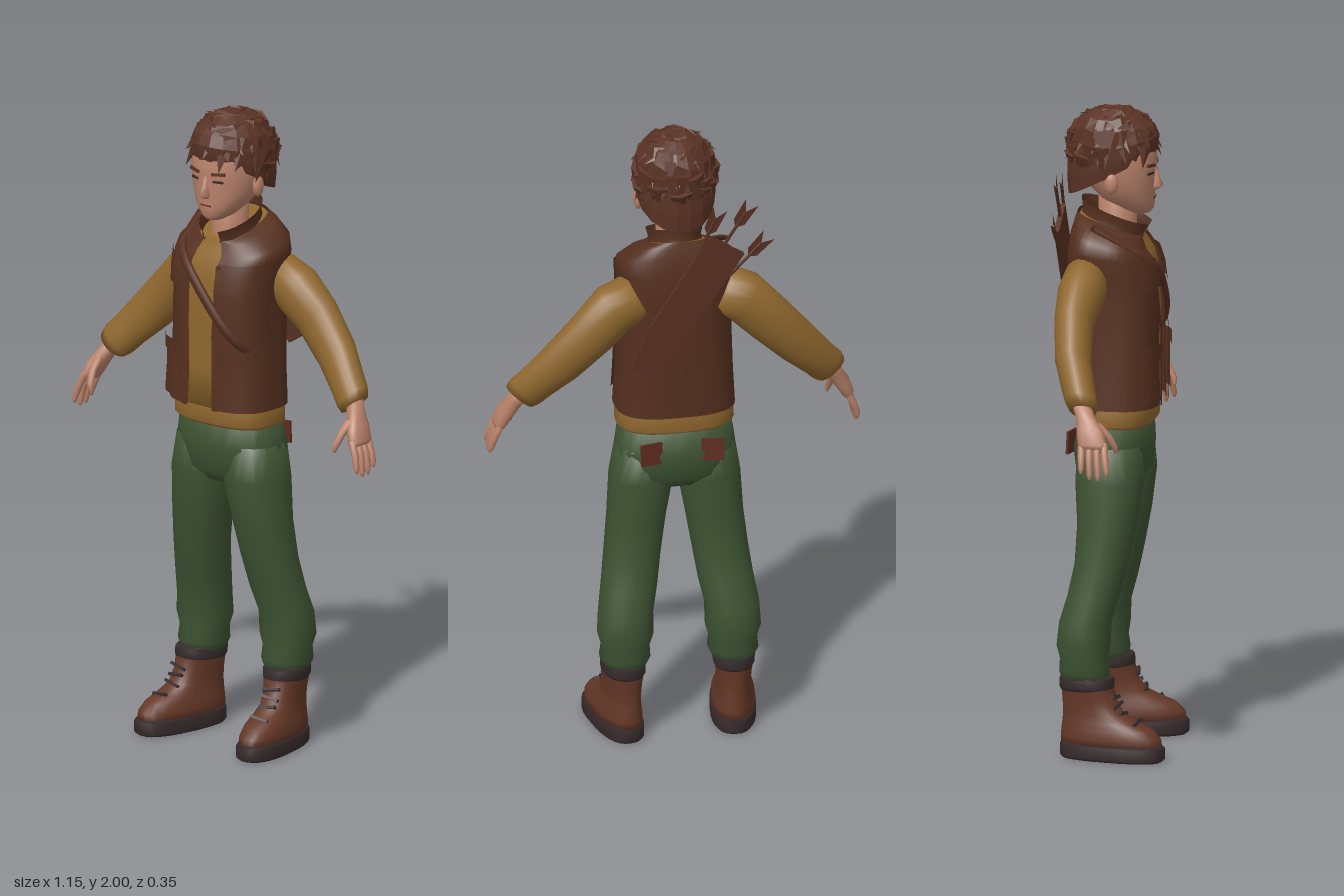
import * as THREE from 'three';

const mat = (name, color, side = THREE.FrontSide) =>
  Object.assign(new THREE.MeshStandardMaterial({ color, side }), { name });

// Lofts elliptical rings. rows: [x, y, z, radiusX, radiusZ, slope]; tube turns rings along the path in xy.
function loft(rows, { n = 20, p = 2, t0 = 0, t1 = Math.PI * 2, tube = false, flat = false } = {}) {
  const closed = t1 - t0 > 6.28, m = closed ? n : n + 1, pos = [], idx = [];
  const pw = v => Math.sign(v) * Math.abs(v) ** (2 / p);
  rows.forEach(([x, y, z, a, b, slope = 0], i) => {
    let ux = 1, uy = 0;
    if (tube) {
      const q = rows[Math.max(0, i - 1)], r = rows[Math.min(rows.length - 1, i + 1)];
      const l = Math.hypot(r[0] - q[0], r[1] - q[1]) || 1;
      ux = (r[1] - q[1]) / l; uy = (q[0] - r[0]) / l;
    }
    for (let j = 0; j < m; j++) {
      const t = t0 + (t1 - t0) * j / n, c = pw(Math.cos(t)) * a, s = pw(Math.sin(t)) * b;
      pos.push(x + ux * c, y + uy * c + slope * s, z + s);
    }
  });
  for (let i = 0; i < rows.length - 1; i++) for (let j = 0; j < n; j++) {
    const k = (j + 1) % m, A = i * m + j, B = A + m, C = i * m + k, D = C + m;
    idx.push(A, B, C, B, D, C);
  }
  if (closed) { // end caps
    const e = (rows.length - 1) * m, c0 = rows.length * m, first = rows[0], last = rows.at(-1);
    pos.push(first[0], first[1], first[2], last[0], last[1], last[2]);
    for (let j = 0; j < n; j++) {
      const k = (j + 1) % n;
      idx.push(c0, j, k, c0 + 1, e + k, e + j);
    }
  }
  let g = new THREE.BufferGeometry();
  g.setAttribute('position', new THREE.Float32BufferAttribute(pos, 3));
  g.setIndex(idx);
  if (flat) g = g.toNonIndexed();
  g.computeVertexNormals();
  return g;
}

// Mirrored copy across x = 0 with corner order kept outward.
function mirrored(geo) {
  const g = geo.index ? geo.toNonIndexed() : geo.clone();
  for (const at of [g.attributes.position, g.attributes.normal])
    for (let i = 0; i < at.count; i++) at.setX(i, -at.getX(i));
  for (const at of Object.values(g.attributes)) {
    const s = at.itemSize, v = at.array;
    for (let i = 0; i < at.count; i += 3) for (let k = 0; k < s; k++) {
      const a = (i + 1) * s + k, b = (i + 2) * s + k;
      [v[a], v[b]] = [v[b], v[a]];
    }
  }
  return g;
}

// Rows given as [y, halfWidth, front, back, slope]
const body = (rows, grow = 0) => rows.map(([y, a, f, b, s = 0]) =>
  [0, y, (f + b) / 2, a + grow, (f - b) / 2 + grow, s]);

const VEST = [[1.08, .185, .125, -.14], [1.2, .178, .12, -.14], [1.35, .172, .125, -.15], [1.48, .175, .12, -.16],
  [1.55, .182, .105, -.16, -.1], [1.59, .178, .085, -.15, -.25], [1.625, .13, .07, -.14, -.3], [1.637, .085, .07, -.135, -.35]];
function vestAt(y) {
  let i = 0;
  while (i < VEST.length - 2 && VEST[i + 1][0] < y) i++;
  const A = VEST[i], B = VEST[i + 1], k = (y - A[0]) / (B[0] - A[0]);
  return [y, ...[1, 2, 3, 4].map(c => (A[c] ?? 0) + ((B[c] ?? 0) - (A[c] ?? 0)) * k)];
}

export function createModel() {
  const model = new THREE.Group();
  model.name = 'archerBoy';
  const skin = mat('skin', 0xb9826a), hair = mat('hair brown', 0x5a3325, THREE.DoubleSide),
    vest = mat('vest brown', 0x55301f, THREE.DoubleSide), shirt = mat('ochre cloth', 0x8f672e),
    green = mat('trouser green', 0x3e5232), boot = mat('boot leather', 0x653827),
    dark = mat('dark rubber', 0x372b2c), patchRed = mat('patch red brown', 0x5e2b20),
    leather = mat('quiver leather', 0x573022, THREE.DoubleSide);
  const add = (name, geo, m) => {
    const mesh = new THREE.Mesh(geo, m);
    mesh.name = name;
    model.add(mesh);
    return mesh;
  };
  const pair = (name, geo, m) => { add(name + 'Left', geo, m); add(name + 'Right', mirrored(geo), m); };
  const box = (w, h, d, x, y, z, rx = 0, ry = 0, rz = 0) => new THREE.BoxGeometry(w, h, d)
    .rotateX(rx).rotateZ(rz).rotateY(ry).translate(x, y, z);

  // Trousers
  add('trouserSeat', loft(body([[.83, .12, .05, -.1], [.87, .185, .085, -.135], [.95, .186, .095, -.145],
    [1.05, .172, .09, -.12]]), { p: 2.4 }), green);
  pair('trouserLeg', loft([[.168, .235, -.085, .06, .068], [.168, .27, -.086, .078, .078], [.167, .31, -.088, .074, .074],
    [.167, .35, -.09, .086, .082], [.165, .42, -.085, .084, .08], [.15, .5, -.062, .086, .08], [.136, .6, -.04, .087, .082],
    [.12, .72, -.025, .09, .092], [.104, .85, -.02, .098, .106], [.094, .96, -.022, .09, .1]], { p: 2.2 }), green);
  pair('seatPatch', box(.07, .07, .008, .095, .965, -.14, .05, .22), patchRed);

  // Boots
  const footed = g => g.rotateY(.17).translate(.172, 0, -.08);
  const foot = rows => body(rows);
  pair('bootSole', footed(loft(foot([[0, .064, .24, -.075], [.008, .07, .25, -.082], [.042, .07, .25, -.082],
    [.05, .064, .242, -.078]]), { n: 28, p: 2.5 })), dark);
  pair('bootUpper', footed(loft(foot([[.04, .066, .243, -.08], [.07, .067, .238, -.08], [.095, .062, .215, -.078],
    [.115, .057, .17, -.075], [.14, .053, .12, -.073], [.18, .055, .095, -.074], [.22, .06, .085, -.078],
    [.252, .061, .08, -.078]]), { n: 28, p: 2.3 })), boot);
  pair('bootCuff', footed(loft(foot([[.212, .059, .08, -.079], [.22, .064, .086, -.083], [.247, .065, .085, -.083],
    [.253, .06, .08, -.08]]), { p: 2.3 })), dark);
  for (let i = 0; i < 4; i++)
    pair('bootLace' + (i + 1), footed(box(.06, .009, .012, 0, .118 + i * .025, [.165, .118, .103, .094][i], -.5, 0, i % 2 ? .15 : -.15)), dark);

  // Shirt and sleeves
  add('shirtBody', loft(body(VEST.map(([y, a, f, b, s]) => [y, a, f - .006, b, s]), -.008), { n: 28, p: 2.8 }), shirt);
  add('shirtHem', loft(body([[1.02, .172, .098, -.125], [1.03, .182, .106, -.132], [1.075, .181, .108, -.132],
    [1.1, .172, .1, -.125]]), { n: 28, p: 2.6 }), shirt);
  pair('sleeve', loft([[.13, 1.485, -.085, .075, .07], [.2, 1.45, -.09, .082, .073], [.275, 1.375, -.1, .078, .06],
    [.37, 1.275, -.085, .07, .056], [.44, 1.2, -.055, .06, .052], [.468, 1.17, -.042, .06, .05],
    [.485, 1.15, -.034, .052, .043]], { tube: true }), shirt);

  // Vest with open front, collar, pockets and placket
  const q = Math.PI / 2;
  const panel = (y0, y1, a, b, grow) => loft(body([y0, (y0 + y1) / 2, y1].map(vestAt), grow), { n: 8, p: 2.8, t0: a, t1: b });
  add('vestShell', loft(body(VEST), { n: 40, p: 2.8, t0: q + .17, t1: 5 * q - .17 }), vest);
  add('vestCollar', loft(body([[1.622, .085, .075, -.13, -.33], [1.645, .08, .08, -.122, -.35], [1.672, .086, .093, -.126, -.37]]),
    { n: 28, t0: q + .4, t1: 5 * q - .4 }), vest);
  pair('vestPlacket', panel(1.08, 1.55, q - .25, q - .16, .008), vest);
  pair('vestPocket', panel(1.1, 1.25, .55, 1.25, .014), vest);
  pair('vestPocketFlap', panel(1.24, 1.28, .5, 1.28, .02), vest);
  pair('vestYoke', panel(1.45, 1.56, .45, 1.38, .008), vest);

  // Strap across the chest, following the vest surface
  const strap = [[-.15, 1.642, -.06, .017, .012]];
  for (let i = 0; i <= 10; i++) {
    const x = -.13 + .297 * i / 10, y = 1.6 - .34 * i / 10, [, a, f, b, s] = vestAt(y);
    const z = (f - b) / 2 * (1 - Math.min(1, Math.abs(x / a)) ** 2.8) ** (1 / 2.8);
    strap.push([x, y + s * z, (f + b) / 2 + z + .004, .017, .009]);
  }
  add('quiverStrap', loft(strap, { n: 8, p: 3, tube: true }), leather);

  // Flat quiver on the back with arrows
  const outline = new THREE.Shape([[-.065, .24], [.06, .235], [.06, -.12], [.035, -.25], [-.035, -.25], [-.06, -.12]]
    .map(v => new THREE.Vector2(...v)));
  const tilt = g => g.rotateZ(.576).translate(0, 1.47, -.179);
  add('quiver', tilt(new THREE.ExtrudeGeometry(outline, { depth: .016, bevelEnabled: false })), leather);
  [[-.035, .3, .2], [.005, .36, 0], [.035, .3, -.14]].forEach(([x, top, lean], i) => {
    const place = g => tilt(g.rotateZ(lean).translate(x, 0, .008));
    add('arrowShaft' + (i + 1), place(new THREE.CylinderGeometry(.005, .005, top - .1, 6).translate(0, (top + .1) / 2, 0)), leather);
    const vane = new THREE.Shape([[0, top - .06], [.02, top - .04], [.024, top + .035], [0, top], [-.024, top + .035], [-.02, top - .04]]
      .map(v => new THREE.Vector2(...v)));
    add('arrowFletching' + (i + 1), place(new THREE.ShapeGeometry(vane)), leather);
  });

  // Hands
  pair('palm', loft([[.476, 1.17, -.04, .026, .03], [.5, 1.13, -.022, .024, .03], [.523, 1.09, -.003, .025, .043],
    [.542, 1.05, .006, .02, .045], [.546, 1.04, .008, .012, .038]], { n: 12, p: 2.4, tube: true }), skin);
  for (let k = 0; k < 4; k++) {
    const z = .042 - k * .023, tip = [.965, .95, .953, .97][k], e = .054 - k * .026;
    pair('finger' + (k + 1), loft([[.538, 1.06, z, .012, .012], [.558, 1.015, (z + e) / 2, .011, .011],
      [.568, tip + .015, e, .009, .009], [.569, tip, e, .004, .004]], { n: 8, tube: true }), skin);
  }
  pair('thumb', loft([[.505, 1.115, .012, .015, .016], [.503, 1.08, .045, .013, .014], [.496, 1.045, .065, .011, .011],
    [.491, 1.022, .07, .005, .005]], { n: 8, tube: true }), skin);

  // Head and face
  add('neck', loft([[0, 1.56, -.015, .07, .07], [0, 1.62, -.015, .056, .058], [0, 1.74, -.015, .056, .06]]), skin);
  add('head', loft(body([[1.668, .026, .085, .02], [1.682, .048, .096, -.02], [1.71, .074, .1, -.06], [1.75, .098, .1, -.1],
    [1.8, .11, .103, -.13], [1.86, .114, .105, -.14], [1.92, .1, .085, -.12], [1.96, .06, .04, -.08]]), { n: 24, p: 2.2 }), skin);
  add('nose', loft([[0, 1.74, .098, .012, .012], [0, 1.753, .104, .017, .022], [0, 1.775, .1, .011, .016],
    [0, 1.81, .094, .008, .01]], { n: 10 }), skin);
  pair('ear', new THREE.SphereGeometry(1, 10, 8).scale(.014, .034, .022).translate(.112, 1.775, -.015), skin);
  pair('eye', box(.034, .007, .006, .045, 1.797, .094, 0, .28), dark);
  pair('brow', box(.045, .009, .008, .047, 1.822, .096, 0, .28, .08), hair);
  add('mouth', box(.04, .004, .006, 0, 1.716, .098), patchRed);

  // Hair cap plus layered pointed locks
  add('hairCap', loft([[0, 1.79, -.03, .119, .136, .52], [0, 1.83, -.03, .124, .14, .38], [0, 1.88, -.028, .124, .14, .2],
    [0, 1.93, -.028, .11, .126, .08], [0, 1.965, -.03, .084, .098, 0], [0, 1.988, -.03, .045, .055, 0]],
    { n: 18, flat: true }), hair);
  let seed = 7;
  const rnd = () => (seed = seed * 16807 % 2147483647) / 2147483647;
  [[6, 1.2], [10, .85], [14, .5], [16, .18], [16, -.12], [13, -.42]].forEach(([count, lat0], ring) => {
    for (let i = 0; i < count; i++) {
      const t = (i + rnd() * .6 + ring * .5) / count * Math.PI * 2, lat = lat0 + (rnd() - .5) * .15;
      const front = Math.sin(t);
      if ((ring === 3 && front > .9) || (ring === 4 && front > .2) || (ring === 5 && front > -.1)) continue;
      const nrm = new THREE.Vector3(Math.cos(t) * Math.cos(lat), Math.sin(lat), front * Math.cos(lat));
      const side = new THREE.Vector3(-Math.sin(t), 0, Math.cos(t)).addScaledVector(nrm, .1).normalize();
      const down = new THREE.Vector3(0, -1, 0).addScaledVector(nrm, nrm.y + .12).addScaledVector(side, (rnd() - .4) * .7).normalize();
      const across = new THREE.Vector3().crossVectors(down, nrm).normalize();
      const out = new THREE.Vector3().crossVectors(across, down);
      const at = new THREE.Vector3(nrm.x * .12, 1.855 + nrm.y * .126, -.028 + nrm.z * .135);
      const g = new THREE.ConeGeometry(.032 + rnd() * .01, .1 + rnd() * .03, 5).toNonIndexed();
      g.scale(1, 1, .45).applyMatrix4(new THREE.Matrix4().makeBasis(across, down, out).setPosition(at));
      g.computeVertexNormals();
      add('hairLock', g, hair);
    }
  });
  return model;
}
